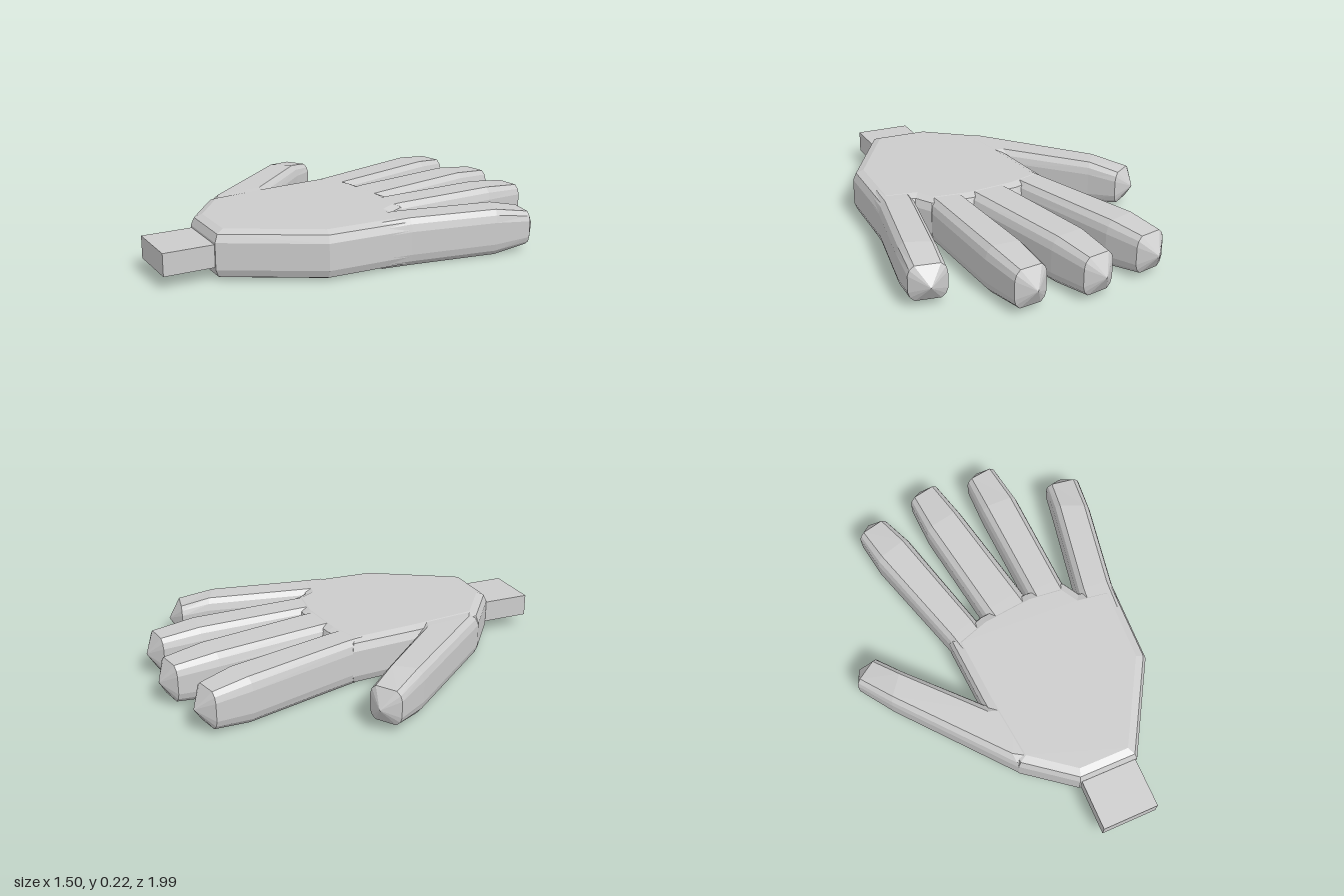
import * as THREE from 'three';

const MID = 0.112; // height of the hand's middle plane
const material = new THREE.MeshStandardMaterial({ color: 0xcccccc, flatShading: true, side: THREE.DoubleSide });

// Quarter of the finger's cross-section, mirrored into a 12-sided ring
const quarter = [[1, 0.48], [0.9, 0.78], [0.66, 1]];
const section = [
  ...quarter,
  ...quarter.map(([u, v]) => [-u, v]).reverse(),
  ...quarter.map(([u, v]) => [-u, -v]),
  ...quarter.map(([u, v]) => [u, -v]).reverse(),
];

// Loft through rows of [leftX, leftZ, rightX, rightZ, halfHeight], closed by a point at the tip
function makeFinger(name, rows, tip) {
  const rings = rows.map(([lx, lz, rx, rz, h]) => section.map(([u, v]) => {
    const t = (u + 1) / 2;
    return [lx + (rx - lx) * t, MID + v * h, lz + (rz - lz) * t];
  }));
  const end = [tip[0], MID, tip[1]];
  const n = section.length;
  const positions = [];
  rings.forEach((ring, i) => {
    const next = rings[i + 1];
    for (let j = 0; j < n; j++) {
      const k = (j + 1) % n;
      if (next) positions.push(...ring[j], ...next[j], ...next[k], ...ring[j], ...next[k], ...ring[k]);
      else positions.push(...ring[j], ...end, ...ring[k]);
    }
  });
  const geometry = new THREE.BufferGeometry();
  geometry.setAttribute('position', new THREE.Float32BufferAttribute(positions, 3));
  geometry.computeVertexNormals();
  const mesh = new THREE.Mesh(geometry, material);
  mesh.name = name;
  return mesh;
}

// Palm: bevelled slab following the outline between the fingers and the wrist
function makePalm() {
  const outline = [
    [-0.33, 0.14], [-0.285, -0.2], [-0.09, -0.225], [0.16, -0.2], [0.345, -0.14], [0.375, -0.05],
    [0.535, 0.01], [0.44, 0.4], [0.11, 0.765], [-0.17, 0.705], [-0.36, 0.485],
  ];
  const shape = new THREE.Shape(outline.map(([x, z]) => new THREE.Vector2(x, -z)).reverse());
  const bevel = 0.05;
  const geometry = new THREE.ExtrudeGeometry(shape, {
    depth: 2 * (MID - bevel), bevelEnabled: true, bevelThickness: bevel,
    bevelSize: 0.05, bevelOffset: -0.05, bevelSegments: 2,
  });
  geometry.rotateX(-Math.PI / 2).translate(0, bevel, 0);
  const mesh = new THREE.Mesh(geometry, material);
  mesh.name = 'palm';
  return mesh;
}

export function createModel() {
  const hand = new THREE.Group();
  hand.name = 'hand';
  hand.add(makePalm());

  // Fingers: buried root, base, knuckle, end ring, tip
  hand.add(makeFinger('thumb', [
    [-0.3, 0.553, -0.2, 0.2, 0.108],
    [-0.36, 0.485, -0.325, 0.14, 0.111],
    [-0.675, -0.1, -0.545, -0.215, 0.108],
    [-0.755, -0.28, -0.61, -0.34, 0.08],
  ], [-0.705, -0.36]));
  hand.add(makeFinger('indexFinger', [
    [-0.28, -0.1, -0.11, -0.1, 0.109],
    [-0.285, -0.21, -0.11, -0.22, 0.111],
    [-0.34, -0.75, -0.145, -0.77, 0.109],
    [-0.335, -0.925, -0.175, -0.93, 0.088],
  ], [-0.255, -0.99]));
  hand.add(makeFinger('middleFinger', [
    [-0.07, -0.1, 0.155, -0.1, 0.109],
    [-0.07, -0.22, 0.155, -0.22, 0.111],
    [-0.05, -0.75, 0.15, -0.75, 0.109],
    [-0.02, -0.945, 0.14, -0.945, 0.088],
  ], [0.06, -1]));
  hand.add(makeFinger('ringFinger', [
    [0.15, -0.08, 0.33, -0.04, 0.109],
    [0.165, -0.19, 0.345, -0.15, 0.111],
    [0.24, -0.69, 0.425, -0.65, 0.109],
    [0.275, -0.87, 0.435, -0.86, 0.088],
  ], [0.36, -0.92]));
  hand.add(makeFinger('littleFinger', [
    [0.32, 0.1, 0.505, 0.13, 0.109],
    [0.37, -0.055, 0.54, 0, 0.112],
    [0.545, -0.495, 0.695, -0.39, 0.109],
    [0.59, -0.62, 0.75, -0.56, 0.08],
  ], [0.69, -0.645]));

  // Wrist stub, slightly turned
  const wrist = new THREE.Mesh(new THREE.BoxGeometry(0.27, 0.105, 0.32), material);
  wrist.name = 'wrist';
  wrist.position.set(-0.045, MID, 0.81);
  wrist.rotation.y = -0.203;
  hand.add(wrist);
  return hand;
}
